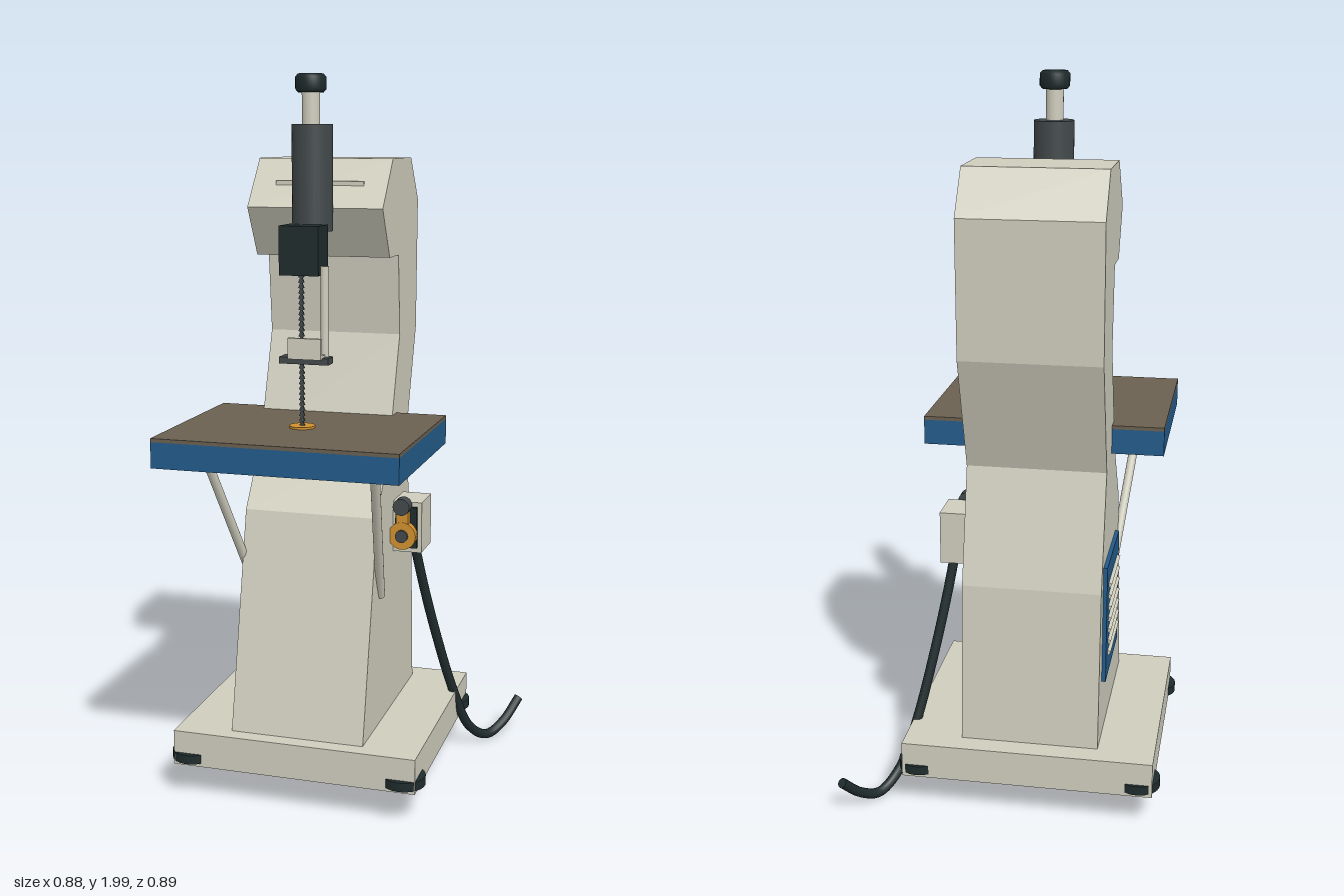
import * as THREE from 'three';

const mat = (name, color, extra = {}) => {
  const m = new THREE.MeshStandardMaterial({ color, ...extra });
  m.name = name;
  return m;
};

export function createModel() {
  const model = new THREE.Group();
  model.name = 'bandsaw';
  const cream = mat('cream paint', 0xcfcdbd);
  const blue = mat('blue paint', 0x235b8a);
  const brown = mat('brown table top', 0x6a6050);
  const black = mat('black rubber', 0x1f2b2c);
  const grey = mat('dark grey metal', 0x42484a);
  const orange = mat('orange plastic', 0xd0902f);

  const add = (name, geometry, material, parent = model) => {
    const mesh = new THREE.Mesh(geometry, material);
    mesh.name = name;
    parent.add(mesh);
    return mesh;
  };
  // Box given by its limits on each axis
  const box = (name, m, x0, x1, y0, y1, z0, z1) => {
    const mesh = add(name, new THREE.BoxGeometry(x1 - x0, y1 - y0, z1 - z0), m);
    mesh.position.set((x0 + x1) / 2, (y0 + y1) / 2, (z0 + z1) / 2);
    return mesh;
  };
  // Upright cylinder given by its centre line and height limits
  const post = (name, m, r, x, z, y0, y1, sides = 32) => {
    const mesh = add(name, new THREE.CylinderGeometry(r, r, y1 - y0, sides), m);
    mesh.position.set(x, (y0 + y1) / 2, z);
    return mesh;
  };
  // Round bar between two points
  const bar = (name, m, r, a, b) => {
    const from = new THREE.Vector3(...a), to = new THREE.Vector3(...b);
    const mesh = add(name, new THREE.CylinderGeometry(r, r, from.distanceTo(to), 16), m);
    mesh.position.copy(from).add(to).multiplyScalar(0.5);
    mesh.quaternion.setFromUnitVectors(new THREE.Vector3(0, 1, 0), to.sub(from).normalize());
    return mesh;
  };
  // Short cylinder facing the front
  const disc = (name, m, r, x, y, z0, z1) => {
    const mesh = add(name, new THREE.CylinderGeometry(r, r, z1 - z0, 28).rotateX(Math.PI / 2), m);
    mesh.position.set(x, y, (z0 + z1) / 2);
    return mesh;
  };

  // Base plate and round feet
  box('base', cream, -0.425, 0.275, 0.1, 0.2, -0.355, 0.315);
  for (const x of [-0.383, 0.233])
    for (const z of [-0.305, 0.27]) post('foot', black, 0.06, x, z, 0.11, 0.136);

  // C-shaped column, side profile as (z, y)
  const profile = [
    [0.27, 0.2], [0.13, 0.81], [0.0, 0.99], [-0.105, 1.29], [-0.085, 1.515], [0.01, 1.515], [0.085, 1.65],
    [-0.02, 1.78], [-0.22, 1.78], [-0.305, 1.66], [-0.295, 1.29], [-0.185, 0.97], [-0.265, 0.65], [-0.293, 0.2],
  ].map(p => new THREE.Vector2(...p));
  const column = new THREE.ExtrudeGeometry(new THREE.Shape(profile), { depth: 0.383, bevelEnabled: false });
  column.rotateY(-Math.PI / 2).translate(0.116, 0, 0);
  add('column', column, cream);
  box('headMount', cream, -0.2, 0.05, 1.62, 1.72, -0.1, 0.038);

  // Work table with its insert and two braces
  box('tableFrame', blue, -0.41, 0.26, 0.99, 1.06, -0.075, 0.45);
  box('tableTop', brown, -0.41, 0.26, 1.06, 1.07, -0.075, 0.45);
  post('tableInsert', orange, 0.035, -0.075, 0.2, 1.065, 1.076);
  bar('tableBrace', cream, 0.013, [-0.308, 0.99, 0.315], [-0.257, 0.58, 0.095]);
  bar('tableBrace', cream, 0.013, [0.16, 0.99, 0.315], [0.117, 0.58, 0.095]);

  // Toothed blade
  const blade = new THREE.Shape();
  const teeth = 30, y0 = 1.06, y1 = 1.49, step = (y1 - y0) / teeth;
  blade.moveTo(-0.005, y0);
  for (let i = 0; i < teeth; i++) {
    blade.lineTo(0.008, y0 + i * step);
    blade.lineTo(0.003, y0 + (i + 0.8) * step);
  }
  blade.lineTo(0.003, y1);
  for (let i = teeth; i > 0; i--) {
    blade.lineTo(-0.003, y0 + (i - 0.2) * step);
    blade.lineTo(-0.008, y0 + (i - 1) * step);
  }
  const bladeGeometry = new THREE.ExtrudeGeometry(blade, { depth: 0.006, bevelEnabled: false });
  add('blade', bladeGeometry, grey).position.set(-0.075, 0, 0.197);

  // Tension cylinder, shaft and knob
  post('tensionCylinder', grey, 0.055, -0.075, 0.1, 1.59, 1.87);
  post('tensionShaft', cream, 0.024, -0.075, 0.11, 1.86, 1.96);
  const knob = [[0, 1.952], [0.034, 1.952], [0.041, 1.96], [0.041, 1.992], [0.034, 2], [0, 2]];
  const knobMesh = add('tensionKnob',
    new THREE.LatheGeometry(knob.map(p => new THREE.Vector2(...p)), 32), black);
  knobMesh.position.set(-0.075, 0, 0.11);

  // Blade holder, guide rod and guard
  box('bladeHolder', black, -0.13, -0.021, 1.48, 1.61, 0.135, 0.222);
  post('guideRod', cream, 0.011, -0.012, 0.195, 1.255, 1.505, 20);
  box('guideBracket', grey, -0.128, 0.008, 1.247, 1.265, 0.185, 0.232);
  box('bladeGuard', cream, -0.1, -0.008, 1.262, 1.318, 0.235, 0.246);
  box('guardArm', cream, -0.1, -0.008, 1.262, 1.272, 0.2, 0.24);

  // Switch box on the left side
  box('switchBox', cream, 0.11, 0.2, 0.67, 0.818, -0.16, -0.045);
  box('switchPlate', black, 0.125, 0.188, 0.685, 0.805, -0.046, -0.034);
  disc('switchPaddle', orange, 0.04, 0.15, 0.725, -0.035, -0.012);
  box('switchLever', orange, 0.132, 0.168, 0.74, 0.8, -0.035, -0.014);
  disc('switchButton', grey, 0.018, 0.15, 0.725, -0.014, -0.004);
  disc('switchKnob', grey, 0.024, 0.15, 0.812, -0.036, 0);

  // Power cable
  const cablePath = new THREE.CatmullRomCurve3([
    [0.172, 0.69, -0.075], [0.195, 0.55, -0.105], [0.225, 0.39, -0.145], [0.265, 0.205, -0.2],
    [0.305, 0.07, -0.255], [0.35, 0.02, -0.32], [0.39, 0.045, -0.375], [0.427, 0.105, -0.432],
  ].map(p => new THREE.Vector3(...p)));
  add('powerCable', new THREE.TubeGeometry(cablePath, 60, 0.014, 12), black);
  for (const [t, d] of [[0, 1], [1, -1]]) {
    const p = cablePath.getPoint(t);
    const cap = add('cableEnd', new THREE.CircleGeometry(0.014, 12), black);
    cap.position.copy(p);
    cap.lookAt(p.clone().addScaledVector(cablePath.getTangent(t), -d));
  }

  // Louvred vent panel on the right side
  box('ventPanel', blue, -0.278, -0.26, 0.37, 0.71, -0.22, 0.07);
  for (let i = 0; i < 7; i++) {
    const louvre = box('ventLouvre', cream, -0.285, -0.275, -0.006, 0.006, -0.18, 0.03);
    louvre.position.y = 0.44 + i * 0.034;
    louvre.rotation.z = 0.4;
  }
  return model;
}
